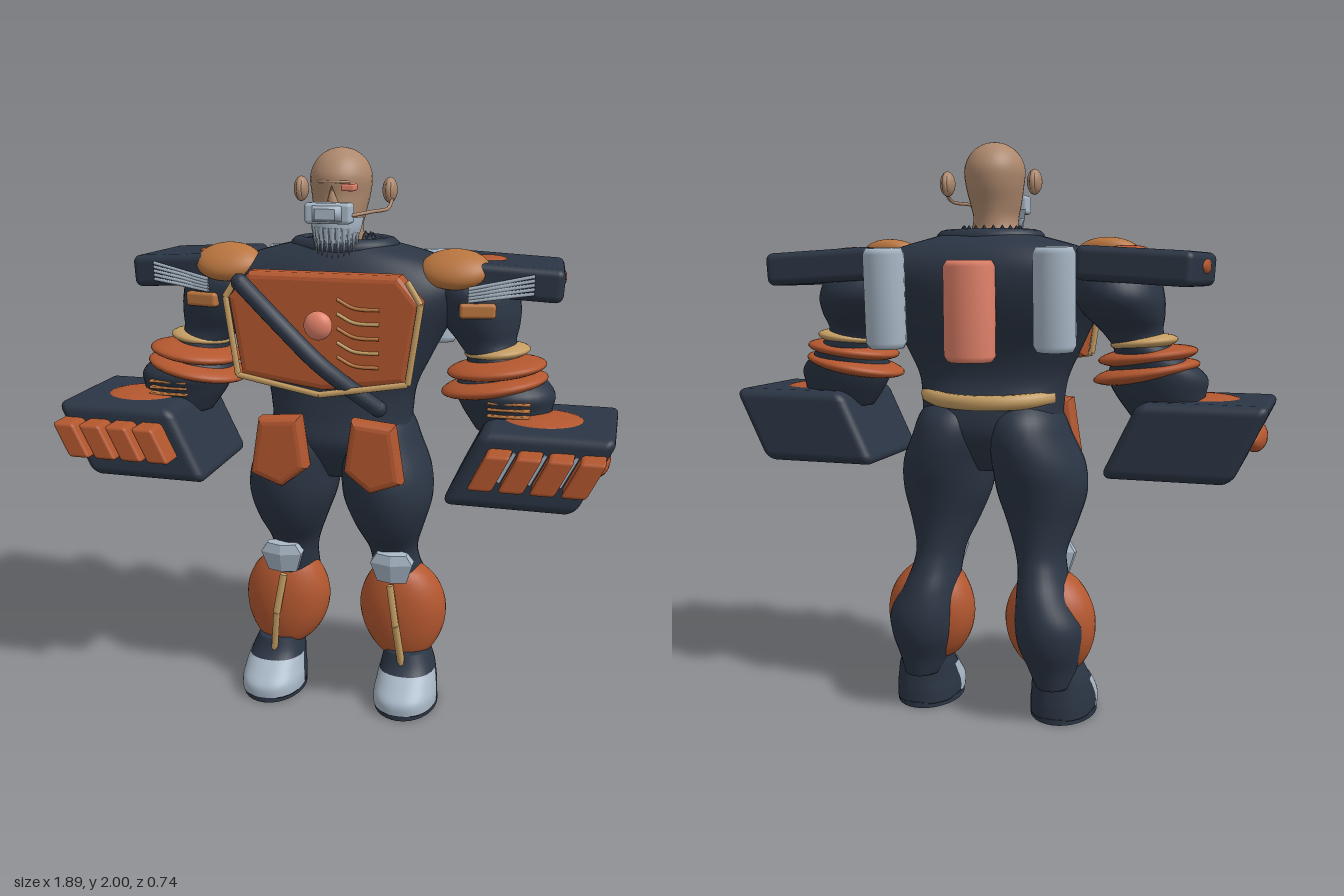
import * as THREE from 'three';
import { RoundedBoxGeometry } from 'three/addons/geometries/RoundedBoxGeometry.js';

const mat = (name, color, side = THREE.FrontSide) => {
  const m = new THREE.MeshStandardMaterial({ color, side });
  m.name = name;
  return m;
};

// Smooth loft over rings, bottom to top, of [y, centre x, half width, front z, back z]
function loft(rings, { seg = 32, steps = 5, power = 1, arc = Math.PI * 2 } = {}) {
  const closed = arc > 6, cols = closed ? seg : seg + 1;
  const at = (i, k) => rings[Math.max(0, Math.min(rings.length - 1, i))][k];
  const pos = [], idx = [], rows = (rings.length - 1) * steps;
  const bend = v => Math.sign(v) * Math.abs(v) ** power;
  for (let r = 0; r <= rows; r++) {
    const i = Math.min(Math.floor(r / steps), rings.length - 2), t = r / steps - i;
    const [y, cx, rx, zf, zb] = [0, 1, 2, 3, 4].map(k => {
      const a = at(i - 1, k), b = at(i, k), c = at(i + 1, k), d = at(i + 2, k);
      return b + 0.5 * t * (c - a + t * (2 * a - 5 * b + 4 * c - d + t * (3 * (b - c) + d - a)));
    });
    for (let j = 0; j < cols; j++) {
      const a = j / seg * arc;
      pos.push(cx + rx * bend(Math.cos(a)), y, (zf + zb) / 2 + (zf - zb) / 2 * bend(Math.sin(a)));
    }
  }
  for (let r = 0; r < rows; r++) for (let j = 0; j < seg; j++) {
    const k = (j + 1) % cols, a = r * cols + j, b = r * cols + k;
    idx.push(a, a + cols, b, b, a + cols, b + cols);
  }
  if (closed) [0, rows].forEach((r, top) => {
    const f = rings[top ? rings.length - 1 : 0], c = pos.length / 3;
    pos.push(f[1], f[0], (f[3] + f[4]) / 2);
    for (let j = 0; j < seg; j++) {
      const a = r * cols + j, b = r * cols + (j + 1) % cols;
      idx.push(c, ...(top ? [b, a] : [a, b]));
    }
  });
  const g = new THREE.BufferGeometry();
  g.setAttribute('position', new THREE.Float32BufferAttribute(pos, 3));
  g.setIndex(idx);
  g.computeVertexNormals();
  return g;
}

const place = (g, p, r = [0, 0, 0], s = [1, 1, 1]) => g.applyMatrix4(new THREE.Matrix4().compose(
  new THREE.Vector3(...p), new THREE.Quaternion().setFromEuler(new THREE.Euler(...r)), new THREE.Vector3(...s)));
const blob = (p, radii, r) => place(new THREE.SphereGeometry(1, 28, 18), p, r, radii);
const rbox = (w, h, d, r) => new RoundedBoxGeometry(w, h, d, 4, r);
const shear = (g, k) => g.applyMatrix4(new THREE.Matrix4().set(1, k, 0, 0, 0, 1, 0, 0, 0, 0, 1, 0, 0, 0, 0, 1));
const tube = (pts, r) => new THREE.TubeGeometry(new THREE.CatmullRomCurve3(pts.map(p => new THREE.Vector3(...p))), 24, r, 8);
const lathe = (pts, sides) => new THREE.LatheGeometry(pts.map(p => new THREE.Vector2(...p)), sides);
function rod(a, b, r, sides = 8) {
  const A = new THREE.Vector3(...a), d = new THREE.Vector3(...b).sub(A), g = new THREE.CylinderGeometry(r, r, d.length(), sides);
  g.applyQuaternion(new THREE.Quaternion().setFromUnitVectors(new THREE.Vector3(0, 1, 0), d.clone().normalize()));
  return g.translate(...A.addScaledVector(d, 0.5).toArray());
}
function plate(points, depth, bevel) {
  return new THREE.ExtrudeGeometry(new THREE.Shape(points.map(p => new THREE.Vector2(...p))),
    { depth, bevelEnabled: true, bevelThickness: bevel, bevelSize: bevel, bevelSegments: 3 });
}
function mirrored(geo) {
  const g = geo.index ? geo.toNonIndexed() : geo.clone();
  g.scale(-1, 1, 1);
  for (const a of Object.values(g.attributes)) for (let i = 0; i < a.count; i += 3)
    for (let k = 0; k < a.itemSize; k++) {
      const v = a.getComponent(i, k);
      a.setComponent(i, k, a.getComponent(i + 1, k));
      a.setComponent(i + 1, k, v);
    }
  return g;
}

export function createModel() {
  const navy = mat('navy suit', 0x2b3544), orange = mat('burnt orange', 0xb3572f), skin = mat('skin', 0xad886d),
    gold = mat('gold trim', 0xc49d63), grey = mat('pale steel', 0xa9b8c7, THREE.DoubleSide),
    copper = mat('copper', 0xb9753f), salmon = mat('salmon', 0xe2826a);
  const model = new THREE.Group();
  const one = (name, g, m) => {
    const mesh = new THREE.Mesh(g, m);
    mesh.name = name;
    model.add(mesh);
  };
  const pair = (name, g, m) => { one(name + 'Left', g, m); one(name + 'Right', mirrored(g), m); };

  // Torso and collar
  one('torso', loft([[0.88, 0, 0.06, 0.08, -0.12], [1, 0, 0.235, 0.15, -0.205], [1.1, 0, 0.25, 0.14, -0.205],
    [1.2, 0, 0.265, 0.13, -0.18], [1.3, 0, 0.31, 0.14, -0.2], [1.4, 0, 0.36, 0.16, -0.25], [1.5, 0, 0.42, 0.16, -0.28],
    [1.58, 0, 0.43, 0.13, -0.28], [1.64, 0, 0.33, 0.1, -0.25], [1.68, 0, 0.19, 0.07, -0.2], [1.7, 0, 0.12, 0.05, -0.16]],
  { power: 0.85, seg: 48 }), navy);
  one('collar', place(new THREE.TorusGeometry(0.155, 0.036, 12, 40), [0, 1.672, -0.06], [Math.PI / 2, 0, 0], [1, 0.76, 0.9]), navy);
  for (let i = 0; i < 20; i++) {
    const a = i / 20 * Math.PI * 2;
    one('collarSpike', place(new THREE.ConeGeometry(0.022, 0.035, 6), [0.1 * Math.cos(a), 1.702, -0.045 + 0.085 * Math.sin(a)]), navy);
  }

  // Head, face and headset
  one('head', loft([[1.62, 0, 0.1, 0.05, -0.14], [1.69, 0, 0.085, 0.06, -0.1], [1.74, 0, 0.076, 0.1, -0.095],
    [1.79, 0, 0.086, 0.108, -0.105], [1.85, 0, 0.098, 0.105, -0.125], [1.91, 0, 0.103, 0.108, -0.13],
    [1.96, 0, 0.082, 0.08, -0.105], [1.99, 0, 0.043, 0.036, -0.062], [2, 0, 0.002, -0.01, -0.014]]), skin);
  one('nose', place(new THREE.ConeGeometry(0.02, 0.06, 8), [0, 1.855, 0.11], [0.25, 0, 0]), skin);
  one('brow', blob([0, 1.893, 0.08], [0.06, 0.012, 0.03]), skin);
  one('eyepiece', place(rbox(0.045, 0.022, 0.05, 0.006), [0.058, 1.877, 0.113]), salmon);
  one('mouthpiece', place(rbox(0.155, 0.066, 0.06, 0.012), [0, 1.797, 0.145]), grey);
  one('mouthpieceFront', place(new THREE.CylinderGeometry(0.03, 0.05, 0.04, 4, 1).rotateY(Math.PI / 4), [0, 1.797, 0.182], [Math.PI / 2, 0, 0], [1.6, 1, 0.8]), grey);
  one('beard', loft([[1.695, 0, 0.066, 0.108, 0], [1.74, 0, 0.084, 0.115, -0.01], [1.78, 0, 0.091, 0.114, -0.02]],
    { arc: Math.PI, seg: 20 }), grey);
  for (let i = 0; i < 11; i++) {
    const a = (0.08 + 0.84 * i / 10) * Math.PI, c = Math.cos(a), s = Math.sin(a);
    one('beardLock', place(new THREE.ConeGeometry(0.013, 0.07 + 0.03 * s, 6), [0.074 * c, 1.715 - 0.02 * s, 0.05 + 0.058 * s], [Math.PI, 0, 0]), grey);
  }
  pair('earpiece', blob([0.155, 1.86, -0.06], [0.025, 0.042, 0.036]), skin);
  pair('earRing', place(new THREE.TorusGeometry(0.034, 0.009, 8, 24), [0.155, 1.86, -0.06], [0, Math.PI / 2, 0]), skin);
  one('microphoneBoom', tube([[0.165, 1.83, -0.05], [0.165, 1.805, 0.02], [0.13, 1.8, 0.09], [0.07, 1.79, 0.15]], 0.006), skin);

  // Chest plate, trim, ribs and sash
  one('chestPlate', plate([[-0.24, 1.59], [0.24, 1.59], [0.3, 1.52], [0.262, 1.285], [0, 1.25], [-0.262, 1.285], [-0.3, 1.52]], 0.045, 0.023)
    .translate(0, 0, 0.17), orange);
  const trim = [[0.28, 1.6, 0.245], [0.325, 1.53, 0.25], [0.288, 1.27, 0.25], [0, 1.225, 0.275]];
  for (let i = 0; i < 3; i++) pair('chestTrim', rod(trim[i], trim[i + 1], 0.011), gold);
  for (let i = 0; i < 5; i++) {
    const y = 1.535 - 0.047 * i;
    one('chestRib', tube([[0.05, y, 0.238], [0.1, y - 0.025, 0.24], [0.13, y - 0.03, 0.24], [0.19, y - 0.03, 0.238]], 0.006), i % 2 ? gold : copper);
  }
  const sash = [[-0.27, 1.58, 0.26], [-0.13, 1.455, 0.285], [0, 1.33, 0.28], [0.1, 1.24, 0.24], [0.18, 1.17, 0.195]];
  one('sash', tube(sash, 0.03), navy);
  for (const end of [sash[0], sash[4]]) one('sashEnd', blob(end, [0.029, 0.029, 0.029]), navy);
  one('chestGem', blob([0, 1.455, 0.285], [0.047, 0.047, 0.03]), salmon);

  // Back belt and tanks
  one('backBelt', place(new THREE.TorusGeometry(0.235, 0.024, 10, 36, Math.PI * 0.76).rotateZ(Math.PI * 0.12),
    [0, 1.148, -0.015], [-Math.PI / 2 - 0.1, 0, 0], [1.02, 0.88, 1.1]), gold);
  const tank = (r, h) => lathe([[0.001, 0], [r * 0.85, 0], [r, 0.02], [r, h - 0.02], [r * 0.85, h], [0.001, h]], 16);
  one('middleTank', place(tank(0.088, 0.33), [0, 1.27, -0.277], [-0.02, 0, 0], [1, 1, 0.82]), salmon);
  pair('sideTank', place(tank(0.07, 0.33), [0.29, 1.31, -0.29], [-0.06, 0, 0], [1, 1, 0.85]), grey);

  // Shoulders
  pair('shoulderSlab', place(rbox(0.38, 0.11, 0.36, 0.025), [0.55, 1.58, -0.125], [0, 0.08, -0.06]), navy);
  pair('shoulderTopSpot', blob([0.485, 1.636, -0.11], [0.064, 0.012, 0.064]), orange);
  pair('shoulderEndSpot', blob([0.735, 1.58, -0.1], [0.015, 0.026, 0.085]), orange);
  pair('shoulderCap', blob([0.395, 1.615, 0.025], [0.117, 0.05, 0.085], [0.6, 0, 0]), copper);
  pair('upperArmBand', place(rbox(0.12, 0.05, 0.08, 0.012), [0.475, 1.487, 0.045], [0, 0.2, 0]), copper);
  for (let i = 0; i < 5; i++)
    pair('shoulderBlade', rod([0.45, 1.56 - i * 0.01, 0.085], [0.66, 1.605 - i * 0.014, 0.06], 0.006, 4), grey);

  // Arms
  pair('arm', loft([[1.08, 0.6, 0.12, 0.1, -0.08], [1.16, 0.58, 0.155, 0.12, -0.12], [1.22, 0.57, 0.165, 0.13, -0.14],
    [1.3, 0.54, 0.105, 0.06, -0.16], [1.36, 0.5, 0.1, 0.04, -0.17], [1.42, 0.475, 0.13, 0.06, -0.24],
    [1.48, 0.455, 0.15, 0.075, -0.28], [1.55, 0.43, 0.15, 0.075, -0.26], [1.61, 0.4, 0.09, 0.03, -0.2]]), navy);
  pair('elbowBand', blob([0.535, 1.333, -0.06], [0.112, 0.028, 0.115], [0, 0, 0.1]), gold);
  pair('upperElbowDisc', blob([0.54, 1.285, -0.015], [0.168, 0.034, 0.16], [0, 0, 0.12]), orange);
  pair('lowerElbowDisc', blob([0.535, 1.23, -0.01], [0.182, 0.036, 0.165], [0, 0, 0.18]), orange);
  for (let i = 0; i < 3; i++)
    pair('forearmSlat', place(rbox(0.14, 0.009, 0.03, 0.004), [0.6, 1.195 - i * 0.022, 0.116]), copper);

  // Giant gauntlets
  const hand = [0.683, 1.01, 0.06];
  pair('gauntlet', place(shear(rbox(0.43, 0.26, 0.45, 0.035), 0.48), hand), navy);
  pair('gauntletTopSpot', blob([0.71, 1.135, 0.07], [0.135, 0.02, 0.125]), orange);
  pair('gauntletSideSpot', blob([0.895, 1.015, 0.065], [0.04, 0.05, 0.125]), orange);
  pair('gauntletBottomSpot', blob([0.595, 0.882, 0.06], [0.1, 0.032, 0.1]), orange);
  for (let i = 0; i < 4; i++) {
    const x = 0.57 + i * 0.097;
    pair('finger', place(shear(rbox(0.078, 0.12, 0.1, 0.012), 0.48), [x, 1.03, 0.32]), orange);
    if (i) pair('fingerPin', rod([x - 0.074, 0.98, 0.287], [x - 0.025, 1.08, 0.287], 0.006), grey);
  }

  // Legs, hip plates, shins and knees
  pair('leg', loft([[0.13, 0.245, 0.065, 0, -0.18], [0.2, 0.24, 0.088, 0, -0.2], [0.28, 0.235, 0.112, 0, -0.235],
    [0.36, 0.232, 0.12, 0.01, -0.245], [0.45, 0.21, 0.098, 0.03, -0.225], [0.53, 0.195, 0.085, 0.05, -0.19],
    [0.6, 0.185, 0.09, 0.06, -0.17], [0.7, 0.18, 0.125, 0.14, -0.175], [0.8, 0.175, 0.157, 0.185, -0.2],
    [0.9, 0.165, 0.16, 0.195, -0.232], [1, 0.135, 0.148, 0.17, -0.242], [1.08, 0.125, 0.125, 0.13, -0.215], [1.15, 0.12, 0.07, 0.06, -0.13]]), navy);
  pair('hipPlate', place(plate([[0.11, 1.1], [0.215, 1.09], [0.24, 0.93], [0.16, 0.9], [0.09, 0.955]], 0.035, 0.024), [0, 0, 0.165]), orange);
  pair('shinGuard', loft([[0.15, 0.235, 0.03, 0, -0.06], [0.2, 0.23, 0.105, 0.03, -0.14], [0.28, 0.225, 0.15, 0.05, -0.18],
    [0.37, 0.222, 0.16, 0.055, -0.19], [0.45, 0.22, 0.135, 0.045, -0.175], [0.51, 0.215, 0.085, 0.02, -0.13], [0.535, 0.21, 0.02, -0.03, -0.07]]), orange);
  const strip = [[0.2, 0.48, 0.065], [0.225, 0.33, 0.078], [0.245, 0.16, 0.052]];
  for (let i = 0; i < 2; i++) pair('shinStrip', rod(strip[i], strip[i + 1], 0.014, 6), gold);
  const knee = place(lathe([[0.001, -0.06], [0.062, -0.055], [0.088, 0.02], [0.062, 0.055], [0.001, 0.06]], 6),
    [0.205, 0.55, 0.055], [0.12, 0, 0], [1, 1, 0.42]).toNonIndexed();
  knee.computeVertexNormals();
  pair('kneePad', knee, grey);

  // Boots
  pair('boot', loft([[0.015, 0.255, 0.112, 0.165, -0.15], [0.06, 0.255, 0.112, 0.163, -0.15], [0.1, 0.255, 0.106, 0.125, -0.147],
    [0.15, 0.252, 0.097, 0.075, -0.145], [0.205, 0.245, 0.08, 0.05, -0.15]], { power: 0.85 }), navy);
  pair('toeCap', loft([[0.02, 0.255, 0.115, 0.17, -0.15], [0.06, 0.255, 0.115, 0.168, -0.15], [0.1, 0.255, 0.109, 0.13, -0.147],
    [0.135, 0.253, 0.103, 0.093, -0.145]], { power: 0.85, arc: Math.PI }), grey);
  pair('sole', place(new THREE.CylinderGeometry(1, 1, 0.02, 32), [0.255, 0.01, 0.008], [0, 0, 0], [0.116, 1, 0.162]), navy);
  return model;
}
